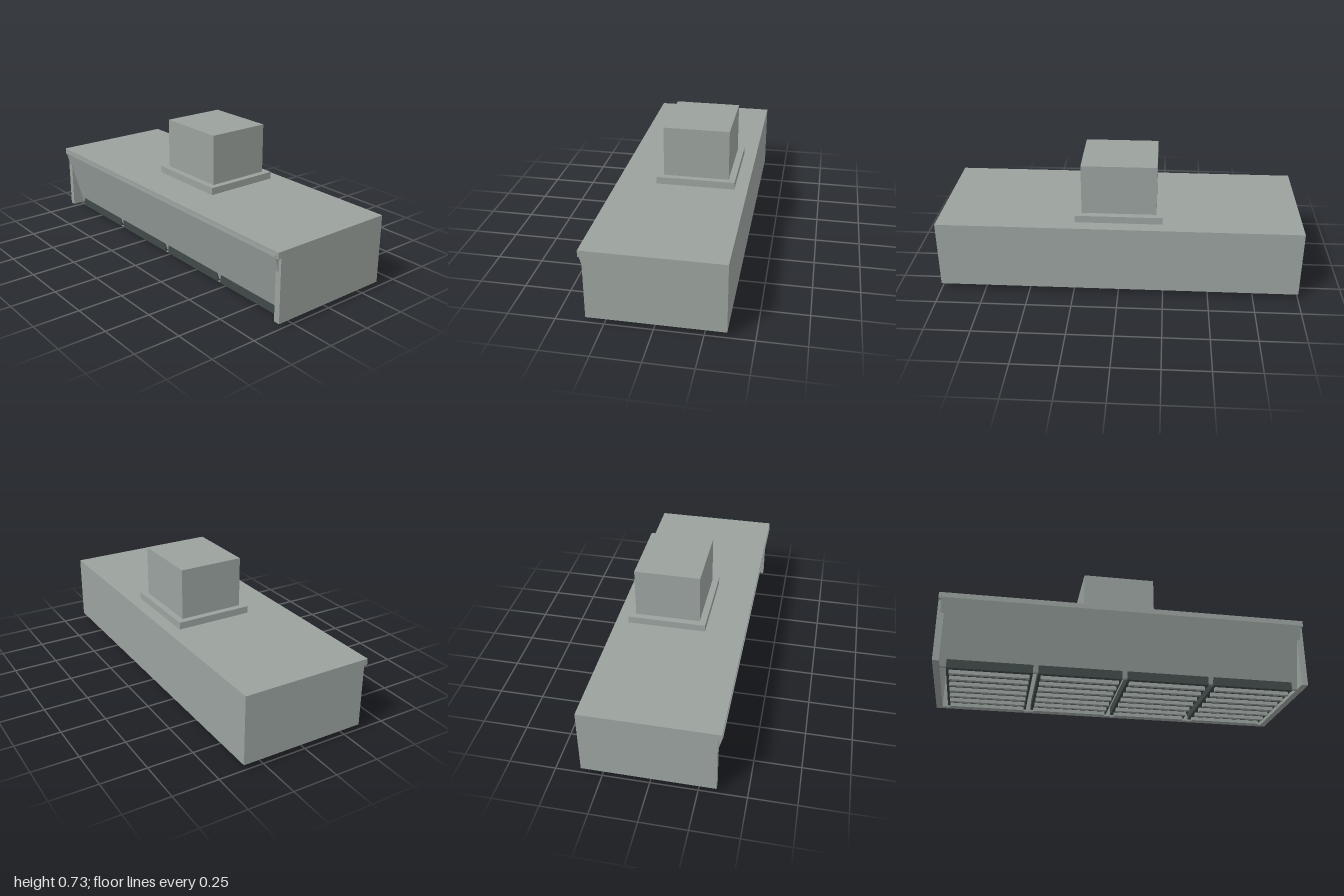
import * as THREE from 'three';

export function createModel() {
  const model = new THREE.Group();
  model.name = 'extractorHood';
  const steel = new THREE.MeshStandardMaterial({ color: 0x9aa29e });
  steel.name = 'brushed steel';
  const dark = new THREE.MeshStandardMaterial({ color: 0x3f4a48 });
  dark.name = 'dark filter';

  // Box given by its extents on each axis
  function box(name, [x0, x1], [y0, y1], [z0, z1], material = steel, parent = model) {
    const mesh = new THREE.Mesh(new THREE.BoxGeometry(x1 - x0, y1 - y0, z1 - z0), material);
    mesh.position.set((x0 + x1) / 2, (y0 + y1) / 2, (z0 + z1) / 2);
    mesh.name = name;
    parent.add(mesh);
    return mesh;
  }

  // Canopy shell, open underneath
  box('topPanel', [-1, 1], [0.39, 0.41], [-0.362, 0.362]);
  box('backPanel', [-0.965, 0.965], [0.03, 0.39], [-0.362, -0.335]);
  for (const side of [-1, 1]) {
    const span = (a, b) => (side < 0 ? [-b, -a] : [a, b]);
    box('sidePanel', span(0.965, 1), [0.03, 0.39], [-0.362, 0.343]);
    box('lipEnd', span(0.985, 1), [0.375, 0.39], [0.343, 0.362]);
  }

  // Front panel leaning inwards towards the bottom
  const profile = new THREE.Shape([
    new THREE.Vector2(0.365, 0.39),
    new THREE.Vector2(0.345, 0.39),
    new THREE.Vector2(0.25, 0.03),
    new THREE.Vector2(0.27, 0.03),
    new THREE.Vector2(0.365, 0.38),
  ]);
  const width = 1.966;
  const panelGeometry = new THREE.ExtrudeGeometry(profile, { depth: width, bevelEnabled: false });
  panelGeometry.translate(0, 0, -width / 2).rotateY(-Math.PI / 2);
  const frontPanel = new THREE.Mesh(panelGeometry, steel);
  frontPanel.name = 'frontPanel';
  model.add(frontPanel);

  // Duct and its collar
  box('ductCollar', [-0.24, 0.24], [0.41, 0.45], [-0.29, 0.143]);
  box('duct', [-0.205, 0.205], [0.45, 0.732], [-0.254, 0.107]);

  // Four grease filters, each with seven baffle bars below
  for (let i = 0; i < 4; i++) {
    const filter = new THREE.Group();
    filter.name = 'filter';
    filter.position.x = (i - 1.5) * 0.473;
    model.add(filter);
    box('filterTray', [-0.2225, 0.2225], [0.02, 0.067], [-0.281, 0.281], dark, filter);
    for (let j = -3; j <= 3; j++) {
      const z = j * 0.0817;
      box('baffleBar', [-0.208, 0.208], [0, 0.02], [z - 0.011, z + 0.011], steel, filter);
    }
  }
  return model;
}
